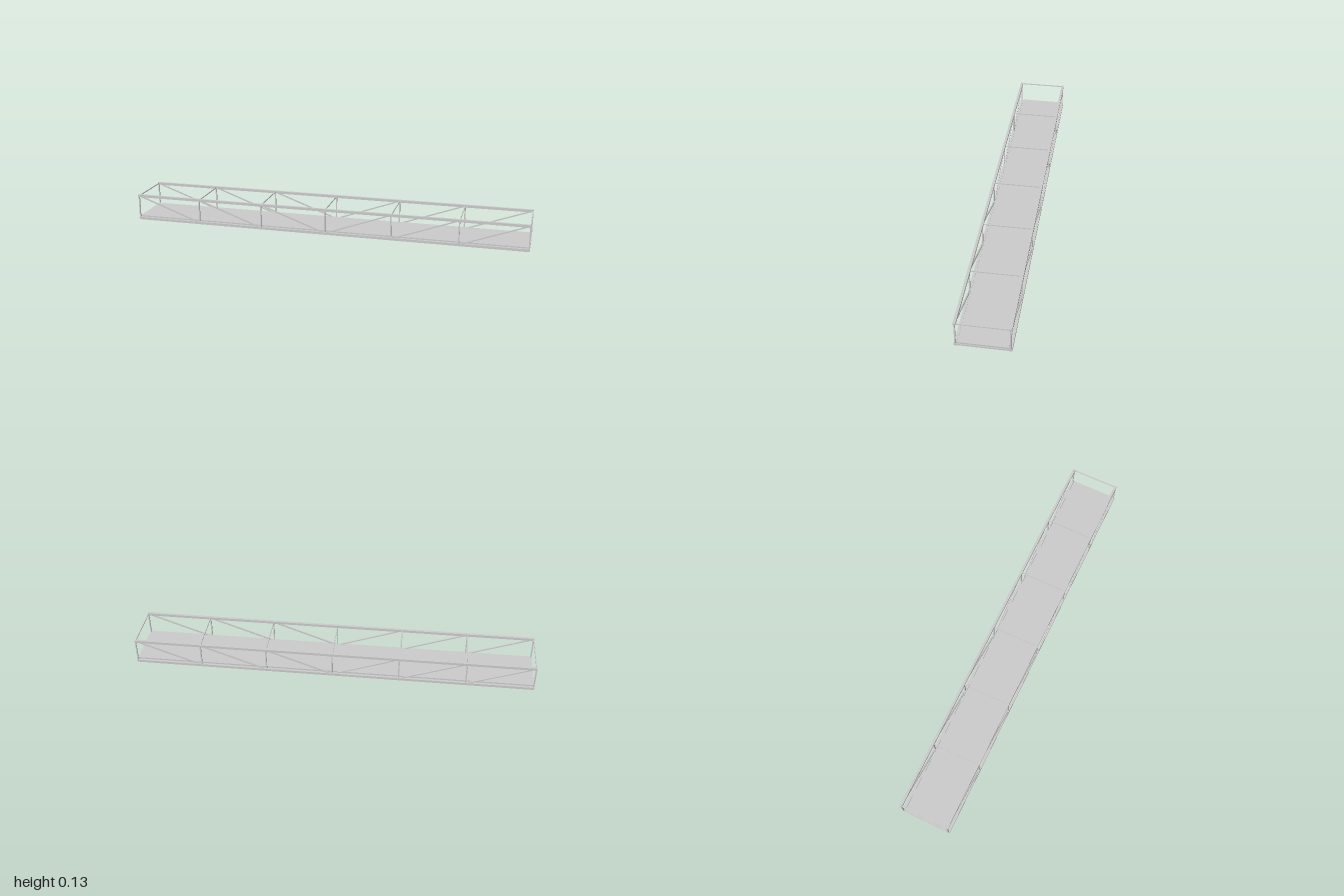
import * as THREE from 'three';

export function createModel() {
  const model = new THREE.Group();
  const mat = new THREE.MeshStandardMaterial({ color: 0xcccccc, flatShading: true });
  const L = 0.997, Z = 0.1205, LOW = 0.0065, HIGH = 0.127, BAYS = 6;

  // Square bar of width w and height h between two points
  function bar(name, a, b, w, h = w) {
    const from = new THREE.Vector3(...a), to = new THREE.Vector3(...b);
    const mesh = new THREE.Mesh(new THREE.BoxGeometry(w, h, from.distanceTo(to)), mat);
    mesh.name = name;
    mesh.position.copy(from).add(to).multiplyScalar(0.5);
    mesh.lookAt(to);
    model.add(mesh);
  }
  const node = i => -L + (2 * L * i) / BAYS;

  for (const z of [-Z, Z]) {
    // Long chords at the four corners
    bar('bottomChord', [-1, LOW, z], [1, LOW, z], 0.0125);
    bar('topChord', [-1, HIGH, z], [1, HIGH, z], 0.0125);

    // Posts at every panel point
    for (let i = 0; i <= BAYS; i++) bar('post', [node(i), LOW, z], [node(i), HIGH, z], 0.006);

    // Diagonals falling toward midspan
    for (let i = 0; i < BAYS; i++) {
      const falling = i < BAYS / 2;
      bar('diagonal', [node(i), falling ? HIGH : LOW, z], [node(i + 1), falling ? LOW : HIGH, z], 0.006);
    }
  }

  // Cross members above and below the walkway
  for (let i = 0; i <= BAYS; i++) {
    bar('topStrut', [node(i), HIGH, -Z], [node(i), HIGH, Z], 0.0045);
    bar('floorBeam', [node(i), LOW, -Z], [node(i), LOW, Z], 0.006, 0.008);
  }

  // Deck slab resting on the floor beams
  const deck = new THREE.Mesh(new THREE.BoxGeometry(2 * L, 0.008, 0.225), mat);
  deck.name = 'deck';
  deck.position.y = 0.0145;
  model.add(deck);

  return model;
}
